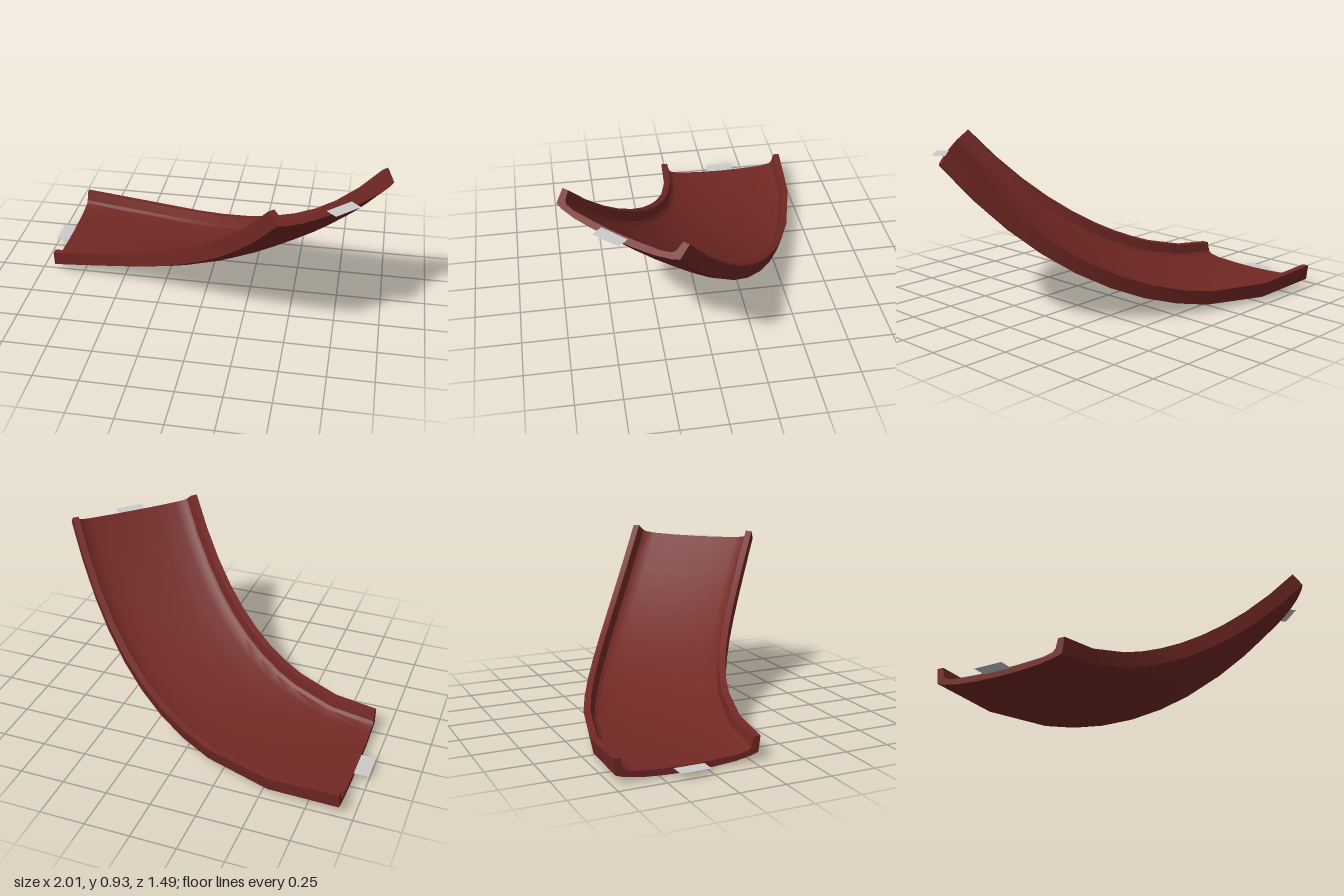
import * as THREE from 'three';
import { toCreasedNormals } from 'three/addons/utils/BufferGeometryUtils.js';

// Positions of the cross-sections along the path, in twelfths: longer steps at the flat end
const STATIONS = [0, 2, 4, 5, 6, 7, 8, 9, 10, 11, 12].map((s) => s / 12);

// Half of the trough section (across, up): underside, side wall, rim, floor
const under = [[0.13, 0.003], [0.25, 0.012], [0.34, 0.028], [0.382, 0.042]];
const wall = [[0.392, 0.126], [0.355, 0.126], [0.342, 0.073], [0.325, 0.058], [0.27, 0.046], [0.13, 0.038]];
const half = [...under, ...wall];
const mirrored = half.map(([u, v]) => [-u, v]).reverse();
const section = [[0, 0], ...half, [0, 0.035], ...mirrored].map(([u, v]) => new THREE.Vector2(u, v));

// Centre line of the underside, turning and climbing
const path = new THREE.CubicBezierCurve3(
  new THREE.Vector3(-0.92, -0.005, -0.35),
  new THREE.Vector3(-0.27, -0.03, -0.35),
  new THREE.Vector3(0.295, 0.09, 0.035),
  new THREE.Vector3(0.76, 0.838, 0.5)
);

// Sweep the section along the path, square to it and banked through the bend
function troughGeometry() {
  const n = section.length;
  const positions = [];
  const index = [];
  for (const t of STATIONS) {
    const centre = path.getPoint(t);
    const tangent = path.getTangent(t);
    tangent.y = Math.max(tangent.y, 0);
    tangent.normalize();
    const side = new THREE.Vector3(tangent.z, 0, -tangent.x).normalize();
    side.applyAxisAngle(tangent, -0.145 * Math.sin(Math.PI * t));
    const up = new THREE.Vector3().crossVectors(tangent, side);
    for (const p of section) {
      const v = centre.clone().addScaledVector(side, p.x).addScaledVector(up, p.y);
      positions.push(v.x, v.y, v.z);
    }
  }
  const last = (STATIONS.length - 1) * n;
  for (let ring = 0; ring < last; ring += n) {
    for (let j = 0; j < n; j++) {
      const a = ring + j;
      const b = ring + ((j + 1) % n);
      index.push(a, b, b + n, a, b + n, a + n);
    }
  }
  // End faces
  for (const [a, b, c] of THREE.ShapeUtils.triangulateShape(section, [])) {
    index.push(a, c, b, last + a, last + b, last + c);
  }
  const geometry = new THREE.BufferGeometry();
  geometry.setAttribute('position', new THREE.Float32BufferAttribute(positions, 3));
  geometry.setIndex(index);
  geometry.computeBoundingBox();
  geometry.translate(0, -geometry.boundingBox.min.y, 0);
  return toCreasedNormals(geometry, Math.PI / 6);
}

// Flat connector plate at an end of the trough
function connector(name, x, y, z, turn) {
  const geometry = new THREE.PlaneGeometry(0.08, 0.165).rotateX(-Math.PI / 2);
  const material = new THREE.MeshStandardMaterial({ color: 0xcccccc, side: THREE.DoubleSide });
  const mesh = new THREE.Mesh(geometry, material);
  mesh.name = name;
  mesh.position.set(x, y, z);
  mesh.rotation.y = turn;
  return mesh;
}

export function createModel() {
  const group = new THREE.Group();
  group.name = 'curvedSlide';

  const trough = new THREE.Mesh(troughGeometry(), new THREE.MeshStandardMaterial({ color: 0x722824 }));
  trough.name = 'trough';
  group.add(trough);

  group.add(connector('lowerConnector', -0.96, 0.035, -0.35, 0));
  group.add(connector('upperConnector', 0.766, 0.866, 0.507, -Math.PI / 4));
  return group;
}
